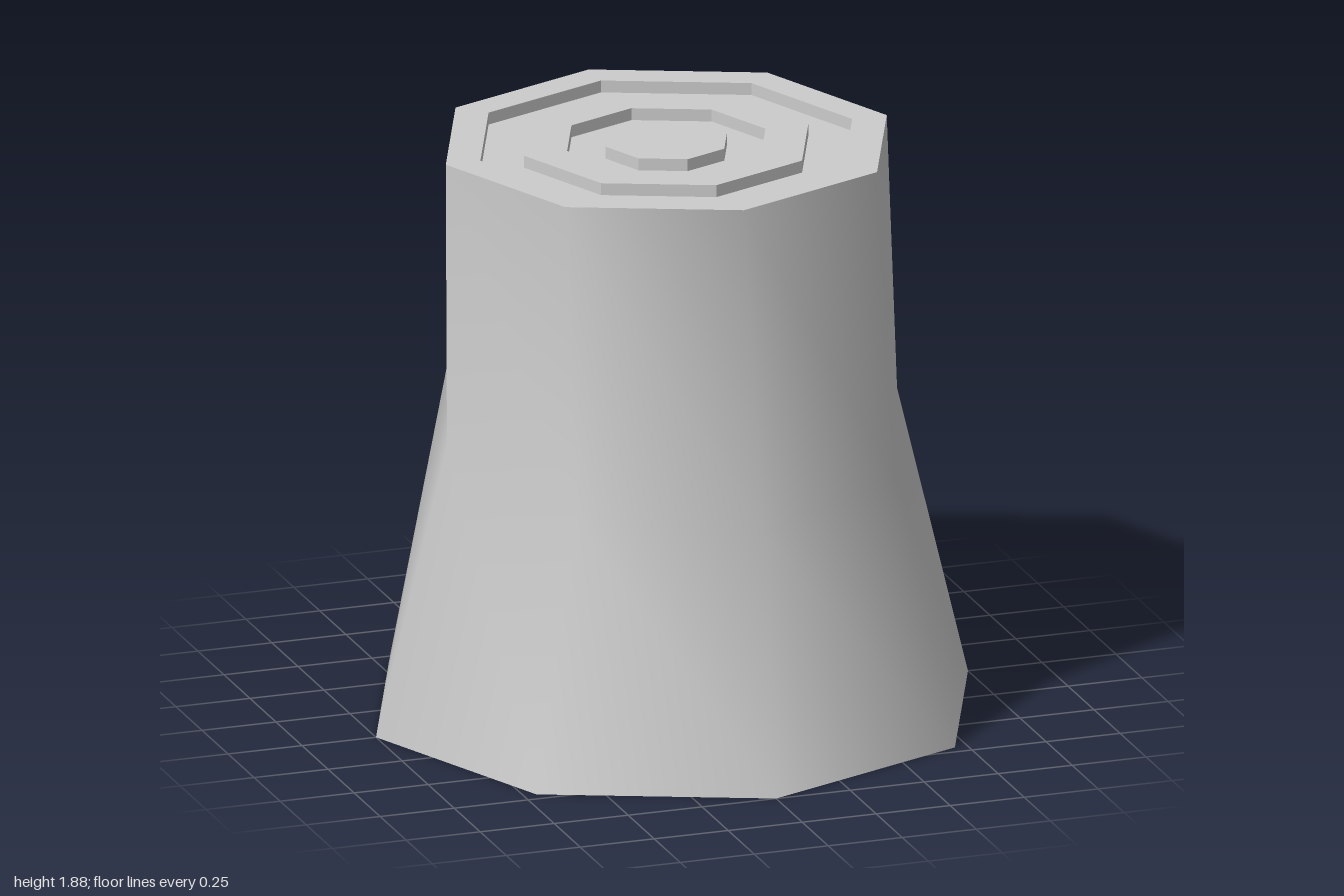
import * as THREE from 'three';
import { mergeVertices } from 'three/addons/utils/BufferGeometryUtils.js';

const SIDES = 8;
const HEIGHT = 1.88;
const TOP_Z = -0.055;

// Octagonal flared trunk, bent at a tilted and slightly twisted middle ring
function trunkGeometry() {
  const profile = [[1, 0], [0.775, 0.965], [0.745, HEIGHT]].map(p => new THREE.Vector2(...p));
  let geo = new THREE.LatheGeometry(profile, SIDES);
  geo.deleteAttribute('uv');
  geo.deleteAttribute('normal');
  geo = mergeVertices(geo, 1e-4);
  const pos = geo.attributes.position;
  const v = new THREE.Vector3();
  const up = new THREE.Vector3(0, 1, 0);
  for (let i = 0; i < pos.count; i++) {
    v.fromBufferAttribute(pos, i);
    if (v.y > 1.5) {
      v.z += TOP_Z;
    } else if (v.y > 0.5) {
      v.z *= 0.98;
      v.y -= v.z * 0.205;
      v.applyAxisAngle(up, 0.05);
    }
    pos.setXYZ(i, v.x, v.y, v.z);
  }
  geo.computeVertexNormals();
  return geo;
}

// Cut face: concentric growth rings, alternately raised and sunk
function ringsGeometry() {
  const points = [new THREE.Vector2(0.745, HEIGHT)];
  let y = HEIGHT;
  for (const r of [0.628, 0.48, 0.335, 0.205]) {
    points.push(new THREE.Vector2(r, y));
    y = y === HEIGHT ? HEIGHT - 0.04 : HEIGHT;
    points.push(new THREE.Vector2(r, y));
  }
  points.push(new THREE.Vector2(0, HEIGHT));
  return new THREE.LatheGeometry(points, SIDES);
}

export function createModel() {
  const group = new THREE.Group();
  group.name = 'treeStump';

  // Open underneath, so the inside of the bark shows
  const trunk = new THREE.Mesh(
    trunkGeometry(),
    new THREE.MeshStandardMaterial({ color: 0xcccccc, side: THREE.DoubleSide })
  );
  trunk.name = 'trunk';

  const rings = new THREE.Mesh(
    ringsGeometry(),
    new THREE.MeshStandardMaterial({ color: 0xcccccc, flatShading: true, side: THREE.DoubleSide })
  );
  rings.name = 'growthRings';
  rings.position.z = TOP_Z;

  group.add(trunk, rings);
  return group;
}
